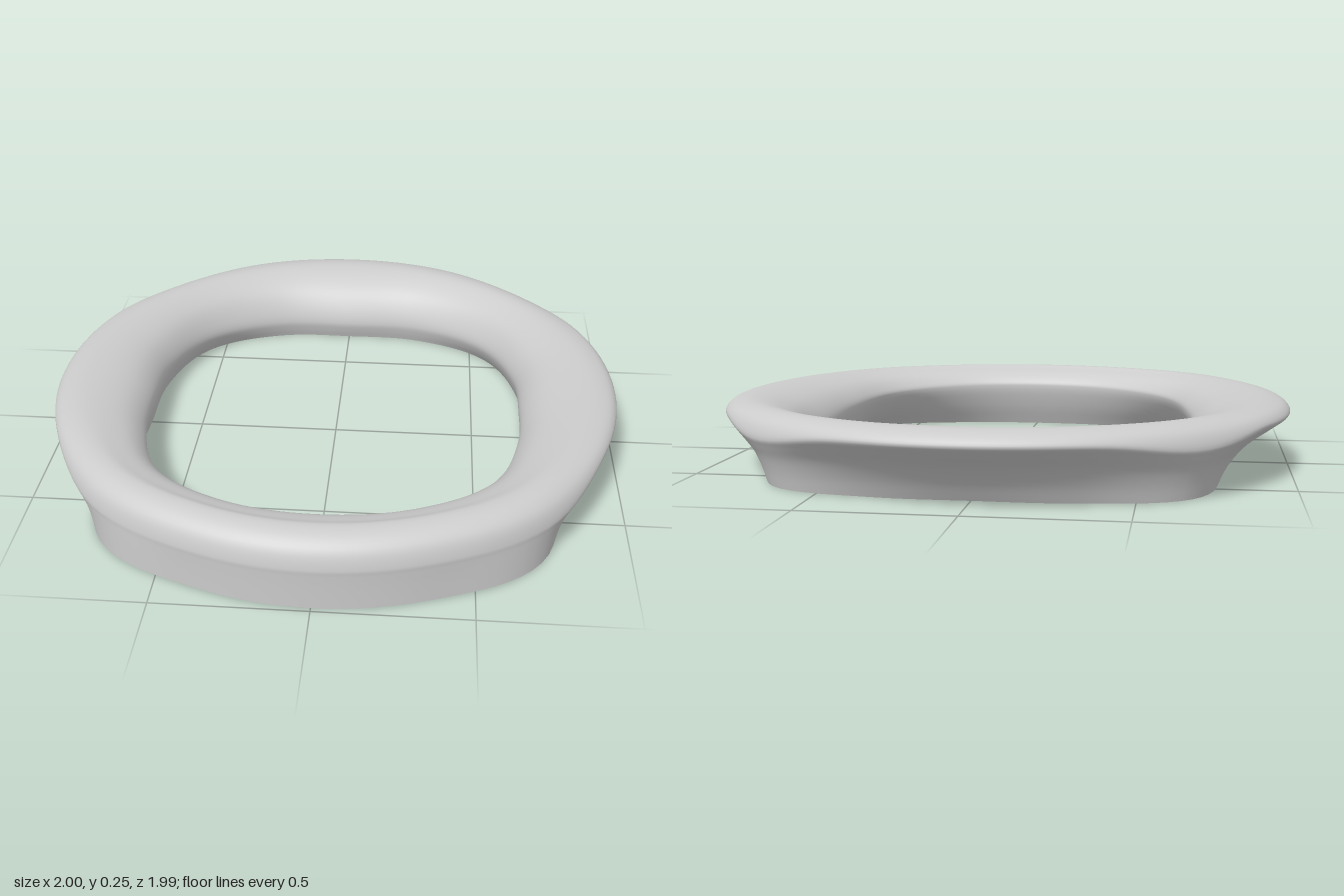
import * as THREE from 'three';

// Radii every 22.5 degrees from the front (+z) round to the back (-z); mirrored in x
const RIM = [0.99, 0.995, 1.02, 1.0, 1.0, 1.01, 1.012, 1.005, 1.0];
const OUTER_BASE = [0.985, 0.99, 1.01, 0.84, 0.765, 0.82, 0.945, 0.845, 0.79];
const HOLE = [0.76, 0.768, 0.765, 0.697, 0.665, 0.704, 0.745, 0.732, 0.695];
const INNER_BASE = [0.82, 0.85, 0.905, 0.755, 0.69, 0.735, 0.79, 0.755, 0.715];

// Smooth periodic lookup in a half-turn table
function radius(table, angle) {
  const t = angle / (Math.PI / 8);
  const i = Math.floor(t), f = t - i;
  const at = (k) => {
    k = ((k % 16) + 16) % 16;
    return table[k > 8 ? 16 - k : k];
  };
  const [a, b, c, d] = [at(i - 1), at(i), at(i + 1), at(i + 2)];
  return b + 0.5 * f * (c - a + f * (2 * a - 5 * b + 4 * c - d + f * (3 * (b - c) + d - a)));
}

// Cross-section: outer base, flared side, rounded rim, top, inner wall, inner base
function section(angle) {
  const R = radius(RIM, angle), A = radius(OUTER_BASE, angle);
  const H = radius(HOLE, angle), C = radius(INNER_BASE, angle);
  const mix = THREE.MathUtils.lerp;
  const waist = 0.12 + 0.05 * Math.cos(angle);
  const wall = (f) => mix(waist, 0.24, f);
  // The rim is rounded more deeply where the side is upright
  const rimY = mix(0.15, 0.2, THREE.MathUtils.smoothstep(R - A, 0, 0.18));
  const fillet = 0.245 - rimY;
  const points = [
    [A, 0], [mix(A, R, 0.2), rimY * 0.3], [mix(A, R, 0.48), rimY * 0.6], [mix(A, R, 0.83), rimY * 0.85],
    [R, rimY], [R - 0.017, rimY + fillet * 0.57], [R - 0.055, rimY + fillet * 0.9], [R - 0.105, 0.245],
    [mix(R, H, 0.58), wall(0.94)], [mix(R, H, 0.8), wall(0.7)], [mix(R, H, 0.94), wall(0.35)],
    [H, waist], [mix(H, C, 0.35), waist * 0.5], [C, 0],
  ];
  return new THREE.CatmullRomCurve3(points.map(([r, y]) => new THREE.Vector3(r, y, 0)), false, 'centripetal');
}

export function createModel() {
  const around = 128, across = 52;
  const positions = [], indices = [];
  for (let i = 0; i < around; i++) {
    const angle = (i / around) * Math.PI * 2;
    const curve = section(angle);
    for (let j = 0; j <= across; j++) {
      const p = curve.getPoint(j / across);
      positions.push(p.x * Math.sin(angle), p.y, p.x * Math.cos(angle));
    }
  }
  for (let i = 0; i < around; i++) {
    for (let j = 0; j < across; j++) {
      const a = i * (across + 1) + j;
      const b = ((i + 1) % around) * (across + 1) + j;
      indices.push(a, b, a + 1, b, b + 1, a + 1);
    }
  }
  const geometry = new THREE.BufferGeometry();
  geometry.setAttribute('position', new THREE.Float32BufferAttribute(positions, 3));
  geometry.setIndex(indices);
  geometry.computeVertexNormals();

  // Hollow ring, open underneath
  const grey = new THREE.MeshStandardMaterial({ color: 0xcccccc, side: THREE.DoubleSide });
  grey.name = 'grey';
  const ring = new THREE.Mesh(geometry, grey);
  ring.name = 'ringShell';

  const group = new THREE.Group();
  group.name = 'flaredRing';
  group.add(ring);
  return group;
}
